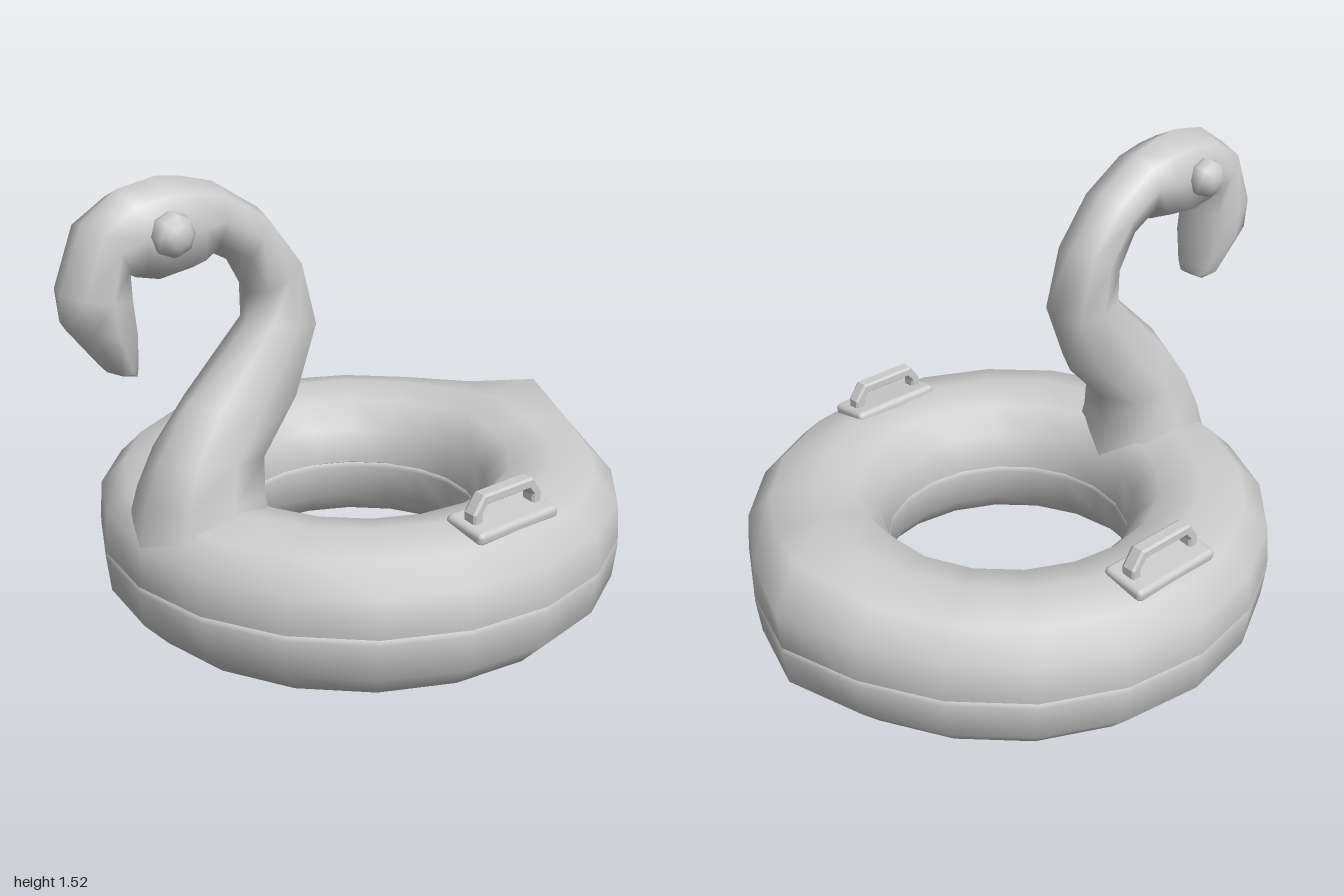
import * as THREE from 'three';
import { mergeVertices } from 'three/addons/utils/BufferGeometryUtils.js';
import { RoundedBoxGeometry } from 'three/addons/geometries/RoundedBoxGeometry.js';

const RING_Z = -0.07;
const vinyl = new THREE.MeshStandardMaterial({ color: 0xcccccc });
vinyl.name = 'grey vinyl';

function part(name, geometry) {
  const mesh = new THREE.Mesh(geometry, vinyl);
  mesh.name = name;
  return mesh;
}

// Half of the ring: a lathe whose rear outer edge is pulled into a pointed tail
function ringHalf(profile) {
  const geo = new THREE.LatheGeometry(profile.map(([r, y]) => new THREE.Vector2(r, y)), 20);
  geo.deleteAttribute('uv');
  geo.deleteAttribute('normal');
  const pos = geo.attributes.position;
  for (let i = 0; i < pos.count; i++) {
    const x = pos.getX(i), y = pos.getY(i), z = pos.getZ(i);
    const r = Math.hypot(x, z);
    const angle = Math.abs(Math.atan2(x, -z));
    const pull = angle < 0.1 ? 1 : angle < 0.4 ? 0.2 : 0;
    const outer = THREE.MathUtils.clamp((r - 0.64) / 0.15, 0, 1);
    const k = 1 + pull * outer * (y > 0.3 ? 0.062 : 0.045) / r;
    const lift = y > 0.45 ? pull * (0.02 + 0.055 * outer) : 0;
    pos.setXYZ(i, x * k, y + lift, z * k);
  }
  const merged = mergeVertices(geo, 1e-4);
  merged.computeVertexNormals();
  merged.translate(0, 0, RING_Z);
  return merged;
}

// Skin through cross-sections: [back z, back y, inner z, inner y, half width]
function skin(sections, sides = 8) {
  const verts = [], index = [];
  for (const [oz, oy, iz, iy, w] of sections) {
    for (let j = 0; j < sides; j++) {
      const a = (j / sides) * Math.PI * 2, s = Math.sin(a), c = Math.cos(a) / 2;
      const x = -w * Math.sign(s) * Math.pow(Math.abs(s), 0.7);
      verts.push(x, (oy + iy) / 2 + c * (oy - iy), (oz + iz) / 2 + c * (oz - iz));
    }
  }
  for (let i = 0; i < sections.length - 1; i++) {
    for (let j = 0; j < sides; j++) {
      const k = (j + 1) % sides;
      const a = i * sides + j, b = i * sides + k;
      index.push(a, b, b + sides, a, b + sides, a + sides);
    }
  }
  // close the beak tip
  const last = (sections.length - 1) * sides;
  for (let j = 1; j < sides - 1; j++) index.push(last, last + j, last + j + 1);
  const geo = new THREE.BufferGeometry();
  geo.setAttribute('position', new THREE.Float32BufferAttribute(verts, 3));
  geo.setIndex(index);
  geo.computeVertexNormals();
  return geo;
}

// Grip plate with an arched bar
function handle(side) {
  const group = new THREE.Group();
  group.name = side > 0 ? 'leftHandle' : 'rightHandle';
  const plate = part('handlePlate', new RoundedBoxGeometry(0.155, 0.045, 0.335, 2, 0.018));
  plate.position.y = 0.497;
  plate.rotation.z = -0.12 * side;
  const arch = new THREE.Shape([
    [-0.137, 0.5], [-0.137, 0.545], [-0.1, 0.595], [0.1, 0.595], [0.137, 0.545], [0.137, 0.5],
    [0.112, 0.5], [0.112, 0.545], [0.09, 0.573], [-0.09, 0.573], [-0.112, 0.545], [-0.112, 0.5],
  ].map(([x, y]) => new THREE.Vector2(x, y)));
  const barGeo = new THREE.ExtrudeGeometry(arch, {
    depth: 0.034, bevelEnabled: true, bevelSize: 0.006, bevelThickness: 0.008, bevelSegments: 1,
  });
  barGeo.translate(0, 0, -0.017);
  barGeo.rotateY(Math.PI / 2);
  group.add(plate, part('handleBar', barGeo));
  group.position.set(0.68 * side, 0, -0.063);
  return group;
}

export function createModel() {
  const model = new THREE.Group();
  model.name = 'birdPoolFloat';

  // Ring halves meet in a shallow welded groove
  model.add(part('lowerRing', ringHalf([
    [0.43, 0.26], [0.41, 0.25], [0.43, 0.13], [0.505, 0.04], [0.64, 0],
    [0.78, 0.04], [0.862, 0.13], [0.875, 0.25], [0.855, 0.26],
  ])));
  model.add(part('upperRing', ringHalf([
    [0.855, 0.26], [0.875, 0.27], [0.865, 0.395], [0.785, 0.475], [0.64, 0.507],
    [0.505, 0.475], [0.43, 0.39], [0.41, 0.27], [0.43, 0.26],
  ])));

  // Neck, head and down-turned beak in one skin
  model.add(part('neckAndHead', skin([
    [0.36, 0.38, 0.80, 0.36, 0.23],
    [0.37, 0.52, 0.765, 0.53, 0.185],
    [0.36, 0.63, 0.71, 0.66, 0.155],
    [0.21, 0.79, 0.61, 0.81, 0.125],
    [0.14, 1.00, 0.38, 1.03, 0.105],
    [0.20, 1.22, 0.375, 1.12, 0.10],
    [0.33, 1.38, 0.43, 1.23, 0.10],
    [0.49, 1.48, 0.52, 1.28, 0.10],
    [0.60, 1.51, 0.57, 1.235, 0.108],
    [0.68, 1.52, 0.68, 1.22, 0.112],
    [0.80, 1.50, 0.76, 1.24, 0.112],
    [0.92, 1.42, 0.81, 1.27, 0.11],
    [1.00, 1.23, 0.795, 1.20, 0.115],
    [0.99, 1.13, 0.785, 1.10, 0.115],
    [0.87, 0.98, 0.793, 1.00, 0.085],
    [0.80, 0.96, 0.80, 0.967, 0.05],
  ])));

  for (const side of [1, -1]) {
    // Bulging eye
    const eyeGeo = new THREE.SphereGeometry(0.067, 8, 6);
    eyeGeo.rotateZ(-Math.PI / 2 * side);
    const eye = part(side > 0 ? 'leftEye' : 'rightEye', eyeGeo);
    eye.position.set(0.118 * side, 1.378, 0.705);
    eye.scale.x = 0.85;
    model.add(eye, handle(side));
  }
  return model;
}
